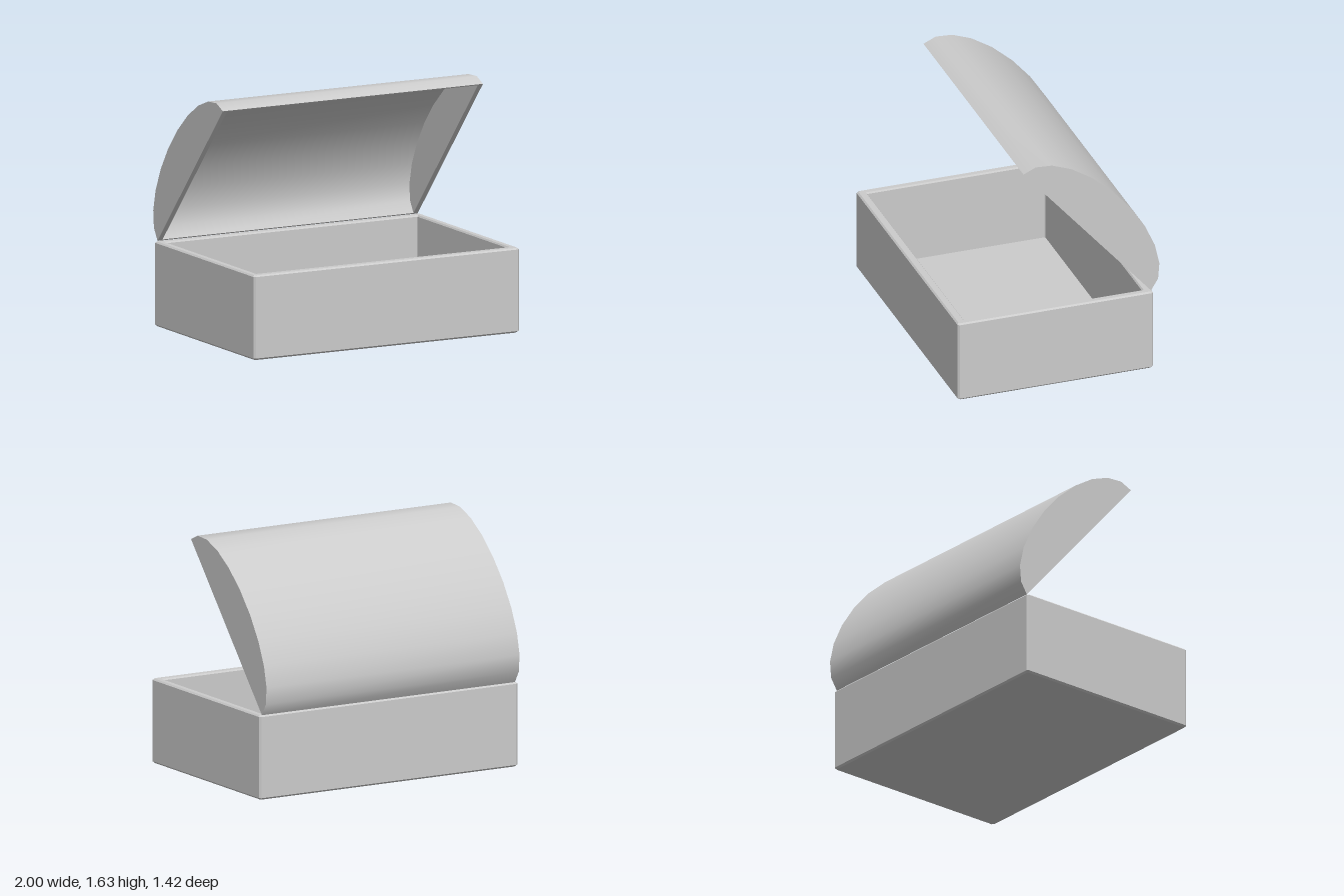
import * as THREE from 'three';
import { toCreasedNormals } from 'three/addons/utils/BufferGeometryUtils.js';

const material = new THREE.MeshStandardMaterial({ color: 0xcccccc, side: THREE.DoubleSide });

function addMesh(parent, name, geometry) {
  const mesh = new THREE.Mesh(geometry, material);
  mesh.name = name;
  parent.add(mesh);
  return mesh;
}

// Rectangle with cut corners, at height y
function ring(halfX, halfZ, cut, y) {
  const points = [];
  for (const [sx, sz] of [[1, 1], [-1, 1], [-1, -1], [1, -1]]) {
    const a = [sx * halfX, y, sz * (halfZ - cut)];
    const b = [sx * (halfX - cut), y, sz * halfZ];
    points.push(...(sx * sz > 0 ? [a, b] : [b, a]));
  }
  return points;
}

// Skin over stacked rings, closed by a fan at both ends, with flat faces
function loft(rings) {
  const positions = [];
  const n = rings[0].length;
  const triangle = (a, b, c) => positions.push(...a, ...b, ...c);
  for (let i = 0; i < rings.length - 1; i++) {
    for (let j = 0; j < n; j++) {
      const k = (j + 1) % n;
      const [low, high] = [rings[i], rings[i + 1]];
      triangle(low[j], high[j], high[k]);
      triangle(low[j], high[k], low[k]);
    }
  }
  const [first, last] = [rings[0], rings[rings.length - 1]];
  for (let j = 1; j < n - 1; j++) {
    triangle(first[0], first[j], first[j + 1]);
    triangle(last[0], last[j + 1], last[j]);
  }
  const geometry = new THREE.BufferGeometry();
  geometry.setAttribute('position', new THREE.Float32BufferAttribute(positions, 3));
  geometry.computeVertexNormals();
  return geometry;
}

// Half ellipse in 11 straight steps
function arch(a, b) {
  return Array.from({ length: 12 }, (_, i) => {
    const t = (i / 11) * Math.PI;
    return new THREE.Vector2(a * Math.cos(t), b * Math.sin(t));
  });
}

// Extrude a profile along x, centred, with the profile's x along z
function extrudeAlongX(points, width) {
  const geometry = new THREE.ExtrudeGeometry(new THREE.Shape(points), { depth: width, bevelEnabled: false });
  geometry.translate(0, 0, -width / 2);
  geometry.rotateY(-Math.PI / 2);
  return toCreasedNormals(geometry, 0.8);
}

export function createModel() {
  const model = new THREE.Group();
  model.name = 'openChest';

  // Hollow base: chamfered outside, over the rim, down to the floor
  const base = addMesh(model, 'base', loft([
    ring(0.988, 0.673, 0.012, 0),
    ring(1, 0.685, 0.012, 0.012),
    ring(1, 0.685, 0.012, 0.56),
    ring(0.99, 0.675, 0.012, 0.57),
    ring(0.957, 0.632, 0.004, 0.57),
    ring(0.95, 0.624, 0.004, 0.56),
    ring(0.95, 0.624, 0.004, 0.015),
  ]));
  base.position.z = 0.025;

  // Lid, tilted open about the back edge
  const lid = new THREE.Group();
  lid.name = 'lid';
  lid.position.set(0, 1.083, -0.203);
  lid.rotation.x = -0.853;
  model.add(lid);

  const outer = arch(0.68, 0.318);
  const inner = arch(0.67, 0.306);
  addMesh(lid, 'lidBarrel', extrudeAlongX([...outer, ...inner.slice().reverse()], 1.96));
  for (const side of [-1, 1]) {
    const end = addMesh(lid, side > 0 ? 'leftLidEnd' : 'rightLidEnd', extrudeAlongX(inner, 0.035));
    end.position.x = side * 0.9625;
  }
  return model;
}
